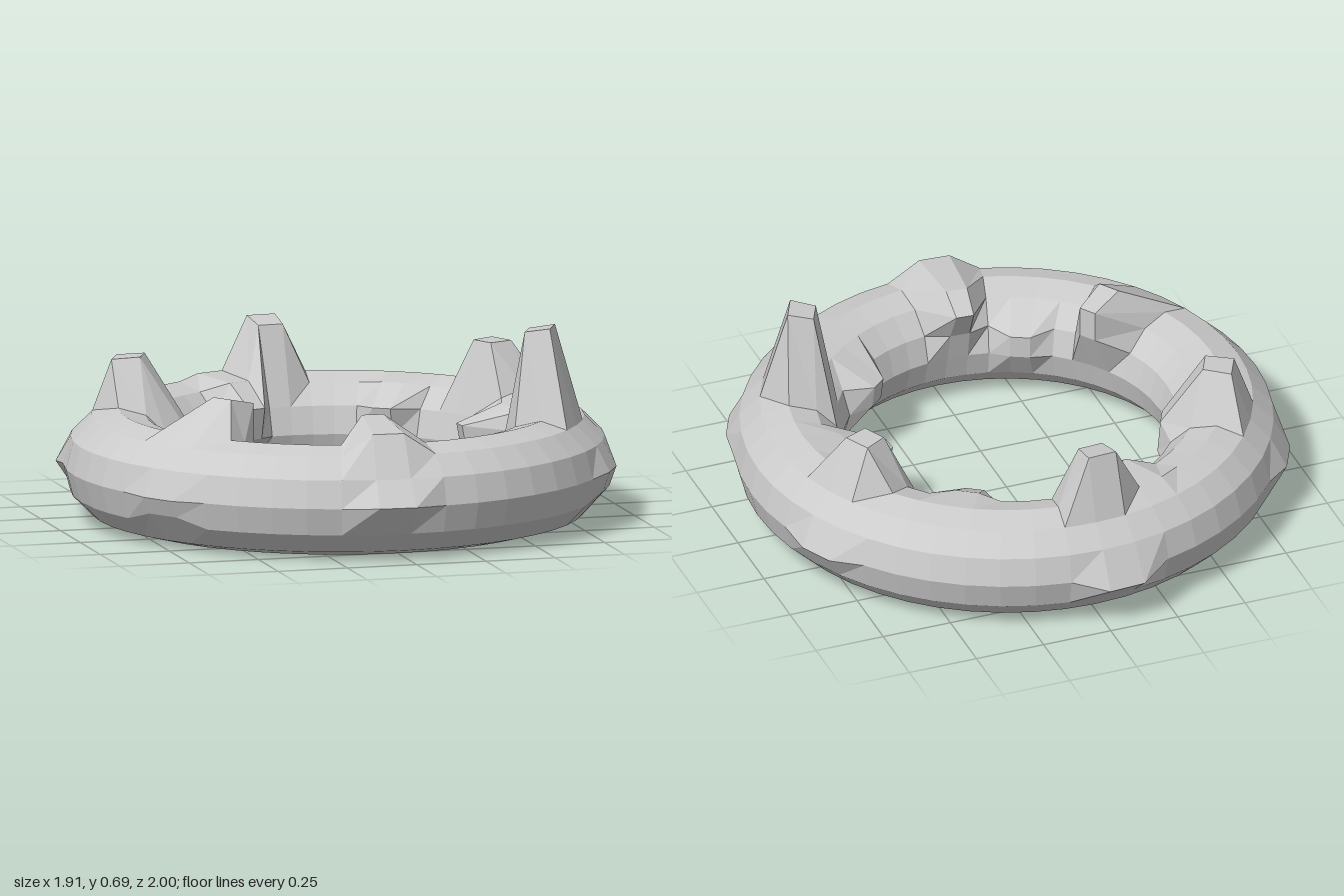
import * as THREE from 'three';

const COLUMNS = 48, SIDES = 12;
const RING = 0.76, TUBE = 0.193;

// Each bump moves two neighbouring columns of the ring.
// at: first column; moved: side index -> [radius, height]
const BUMPS = [
  // upright spikes
  { at: 8, moved: { 3: [0.76, 0.695], 4: [0.67, 0.68], 0: [0.975, 0.2], 11: [0.95, 0.13] } },
  { at: 24, moved: { 3: [0.79, 0.585], 4: [0.69, 0.565], 0: [1.0, 0.16] } },
  { at: 32, moved: { 3: [0.79, 0.54], 4: [0.69, 0.55], 5: [0.54, 0.32], 6: [0.53, 0.2], 0: [0.985, 0.18] } },
  { at: 15, moved: { 3: [0.77, 0.54], 4: [0.68, 0.54], 0: [0.98, 0.18] } },
  // spikes leaning into the hole
  { at: -1, moved: { 2: [0.84, 0.435], 3: [0.58, 0.46], 4: [0.48, 0.41], 5: [0.54, 0.3], 0: [1.0, 0.2] } },
  { at: -8, moved: { 3: [0.62, 0.5], 4: [0.49, 0.47], 5: [0.49, 0.36], 0: [0.965, 0.19], 11: [0.94, 0.13] } },
  // low knobs on the inner wall
  { at: 12, moved: { 4: [0.62, 0.36], 5: [0.45, 0.3], 6: [0.47, 0.2] } },
  { at: 19, moved: { 4: [0.63, 0.37], 5: [0.5, 0.3], 6: [0.52, 0.2] } },
  { at: 26, moved: { 3: [0.78, 0.4], 4: [0.6, 0.39], 5: [0.49, 0.31], 6: [0.51, 0.2] } },
  { at: 5, moved: { 5: [0.5, 0.28], 6: [0.51, 0.2] } },
  { at: -4, moved: { 5: [0.53, 0.28], 6: [0.53, 0.2] } },
];

// Radius and height of one ring vertex
function section(column, side) {
  for (const { at, moved } of BUMPS) {
    const step = (column - at + COLUMNS) % COLUMNS;
    if (step < 2 && moved[side]) return moved[side];
  }
  const t = (side / SIDES) * Math.PI * 2;
  return [RING + TUBE * Math.cos(t), TUBE + TUBE * Math.sin(t)];
}

function ringGeometry() {
  const positions = [], indices = [];
  for (let c = 0; c < COLUMNS; c++) {
    const a = (c / COLUMNS) * Math.PI * 2;
    for (let s = 0; s < SIDES; s++) {
      const [r, y] = section(c, s);
      positions.push(r * Math.sin(a), y, r * Math.cos(a));
      const c2 = (c + 1) % COLUMNS, s2 = (s + 1) % SIDES;
      const p = c * SIDES + s, q = c2 * SIDES + s;
      const u = c2 * SIDES + s2, v = c * SIDES + s2;
      indices.push(p, q, u, p, u, v);
    }
  }
  const geometry = new THREE.BufferGeometry();
  geometry.setAttribute('position', new THREE.Float32BufferAttribute(positions, 3));
  geometry.setIndex(indices);
  const flat = geometry.toNonIndexed();
  flat.computeVertexNormals();
  return flat;
}

export function createModel() {
  const group = new THREE.Group();
  const material = new THREE.MeshStandardMaterial({ color: 0xcccccc, flatShading: true });
  const ring = new THREE.Mesh(ringGeometry(), material);
  ring.name = 'spikedRing';
  group.add(ring);
  return group;
}
